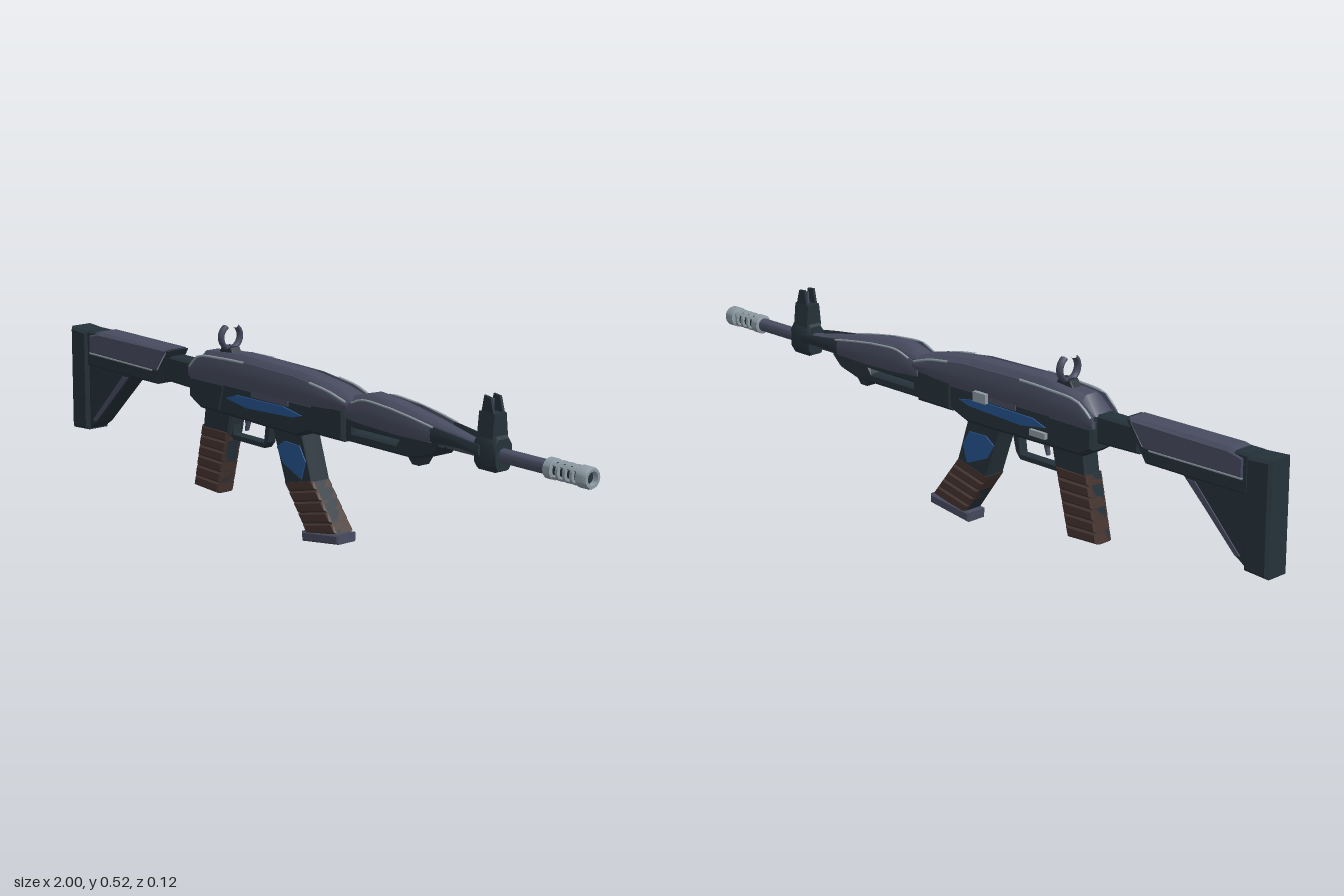
import * as THREE from 'three';
import { toCreasedNormals } from 'three/addons/utils/BufferGeometryUtils.js';

const mat = (name, color) => Object.assign(new THREE.MeshStandardMaterial({ color }), { name });

export function createModel() {
  const dark = mat('dark frame', 0x25323a);
  const steel = mat('grey steel', 0x484c60);
  const light = mat('worn metal', 0x8d9ba4);
  const brown = mat('brown grip', 0x46342f);
  const blue = mat('blue inlay', 0x26558f);

  const root = new THREE.Group();
  root.name = 'rifle';
  root.position.z = 0.005;

  const add = (name, geo, material, x = 0, y = 0, z = 0) => {
    const m = new THREE.Mesh(geo, material);
    m.name = name;
    m.position.set(x, y, z);
    root.add(m);
    return m;
  };
  const box = (name, material, x0, x1, y0, y1, z0, z1) =>
    add(name, new THREE.BoxGeometry(x1 - x0, y1 - y0, z1 - z0), material, (x0 + x1) / 2, (y0 + y1) / 2, (z0 + z1) / 2);

  // Side outline extruded to +-half in z, with a chamfer
  const plate = (name, material, pts, half, bevel = 0.006, z = 0, holes = []) => {
    const shape = new THREE.Shape(pts.map(p => new THREE.Vector2(...p)));
    holes.forEach(h => shape.holes.push(new THREE.Path(h.map(p => new THREE.Vector2(...p)))));
    const geo = new THREE.ExtrudeGeometry(shape, {
      depth: 2 * (half - bevel), bevelEnabled: bevel > 0, bevelSegments: 1,
      bevelSize: bevel, bevelThickness: bevel, bevelOffset: -bevel,
    });
    geo.translate(0, 0, bevel - half);
    return add(name, geo, material, 0, 0, z);
  };

  // Skin over stations [x, bottom, top, halfWidth]; profile is [z, y] in unit coordinates
  const loft = (name, material, stations, profile) => {
    const n = profile.length;
    let area = 0;
    profile.forEach(([z, y], i) => {
      const [z2, y2] = profile[(i + 1) % n];
      area += z * y2 - z2 * y;
    });
    const ring = area > 0 ? [...profile].reverse() : profile;
    const pos = [], idx = [];
    for (const [x, b, t, w] of stations) for (const [z, y] of ring) pos.push(x, b + (t - b) * y, z * w);
    const last = (stations.length - 1) * n;
    for (let i = 0; i < last; i += n) for (let j = 0; j < n; j++) {
      const k = (j + 1) % n;
      idx.push(i + j, i + k, i + n + k, i + j, i + n + k, i + n + j);
    }
    const cz = ring.reduce((s, p) => s + p[0], 0) / n, cy = ring.reduce((s, p) => s + p[1], 0) / n;
    [stations[0], stations[stations.length - 1]].forEach(([x, b, t, w], e) => {
      const c = pos.length / 3;
      pos.push(x, b + (t - b) * cy, cz * w);
      for (let j = 0; j < n; j++) {
        const k = (j + 1) % n;
        if (e) idx.push(c, last + j, last + k); else idx.push(c, k, j);
      }
    });
    const geo = new THREE.BufferGeometry();
    geo.setAttribute('position', new THREE.Float32BufferAttribute(pos, 3));
    geo.setIndex(idx);
    return add(name, toCreasedNormals(geo, 0.6), material);
  };
  const dome = [[-1, 0], [-1, 0.45], [-0.85, 0.8], [-0.45, 1], [0.45, 1], [0.85, 0.8], [1, 0.45], [1, 0]];
  const octagon = [[-1, 0.2], [-1, 0.8], [-0.65, 1], [0.65, 1], [1, 0.8], [1, 0.2], [0.65, 0], [-0.65, 0]];
  const shellSide = s => [[0.7, 0], [0.94, 0.05], [1, 0.4], [0.98, 0.75], [0.92, 1], [0.85, 1], [0.8, 0.6]].map(([z, y]) => [z * s, y]);

  // Turned part along x from [x, radius] points
  const turned = (name, material, pts, y = 0.355) => {
    const geo = new THREE.LatheGeometry(pts.map(([x, r]) => new THREE.Vector2(r, x)), 24);
    geo.rotateZ(-Math.PI / 2);
    return add(name, toCreasedNormals(geo, 0.6), material, 0, y, 0);
  };
  // Thin worn edge following points
  const trim = (name, pts, r = 0.0035) =>
    add(name, new THREE.TubeGeometry(new THREE.CatmullRomCurve3(pts.map(p => new THREE.Vector3(...p))), 10, r, 6), light);
  // Ribbed block between a top edge and a bottom edge
  const ribbed = (name, tl, tr, bl, br, n, half) => {
    const mix = (a, b, t) => [a[0] + (b[0] - a[0]) * t, a[1] + (b[1] - a[1]) * t];
    plate(name + 'Core', dark, [tl, tr, br, bl], half - 0.005, 0.004);
    for (let i = 0; i < n; i++) {
      const a = i / n, b = (i + 0.96) / n;
      plate(name + 'Rib', brown, [mix(tl, bl, a), mix(tr, br, a), mix(tr, br, b), mix(tl, bl, b)], half, 0.005);
    }
  };

  // Stock
  plate('buttPlate', dark, [[-1, 0.125], [-0.925, 0.13], [-0.925, 0.415], [-1, 0.42]], 0.039, 0.008);
  plate('stockBody', dark, [[-0.93, 0.315], [-0.605, 0.315], [-0.54, 0.418], [-0.93, 0.418]], 0.033);
  plate('stockPanel', steel, [[-0.92, 0.35], [-0.6, 0.347], [-0.55, 0.42], [-0.87, 0.422], [-0.92, 0.41]], 0.037, 0.01);
  plate('stockBrace', dark, [[-0.93, 0.13], [-0.89, 0.155], [-0.72, 0.32], [-0.93, 0.32]], 0.028, 0.005, 0,
    [[[-0.89, 0.312], [-0.785, 0.312], [-0.89, 0.2]]]);
  plate('bufferTube', dark, [[-0.58, 0.33], [-0.43, 0.325], [-0.43, 0.4], [-0.58, 0.4]], 0.027);

  // Receiver
  plate('lowerReceiver', dark, [[-0.445, 0.395], [-0.445, 0.31], [-0.405, 0.285], [0, 0.278], [0.06, 0.3],
    [0.185, 0.3], [0.185, 0.39], [-0.05, 0.4]], 0.043, 0.009);
  plate('frontTrunnion', dark, [[0.055, 0.298], [0.185, 0.298], [0.185, 0.385], [0.055, 0.385]], 0.047, 0.008);
  plate('rearTrunnion', dark, [[-0.445, 0.31], [-0.4, 0.287], [-0.31, 0.287], [-0.29, 0.37], [-0.445, 0.37]], 0.047, 0.008);
  loft('receiverCover', steel, [[-0.445, 0.365, 0.4, 0.036], [-0.4, 0.365, 0.44, 0.043], [-0.25, 0.365, 0.453, 0.044],
    [0, 0.365, 0.446, 0.044], [0.13, 0.365, 0.43, 0.043], [0.215, 0.365, 0.41, 0.038]], dome);

  // Handguard
  loft('handguardTop', steel, [[0.19, 0.36, 0.415, 0.034], [0.26, 0.36, 0.433, 0.038], [0.36, 0.36, 0.424, 0.037],
    [0.48, 0.36, 0.405, 0.028], [0.6, 0.36, 0.382, 0.016], [0.65, 0.36, 0.375, 0.014]], dome);
  plate('lowerHandguard', dark, [[0.18, 0.3], [0.43, 0.3], [0.5, 0.318], [0.53, 0.345], [0.53, 0.37], [0.18, 0.38]], 0.036, 0.006, 0,
    [[[0.21, 0.327], [0.37, 0.327], [0.38, 0.338], [0.21, 0.338]]]);
  plate('handguardLug', dark, [[0.39, 0.305], [0.41, 0.28], [0.435, 0.28], [0.455, 0.31]], 0.022, 0.005);

  // Mirrored side shells, arms, inlays and worn edges
  for (const s of [1, -1]) {
    loft('receiverShell', steel, [[-0.445, 0.365, 0.395, 0.048], [-0.4, 0.36, 0.43, 0.053], [-0.25, 0.367, 0.443, 0.055],
      [0, 0.367, 0.438, 0.055], [0.12, 0.372, 0.424, 0.053], [0.2, 0.382, 0.402, 0.048]], shellSide(s));
    loft('handguardShell', steel, [[0.185, 0.36, 0.395, 0.046], [0.26, 0.355, 0.422, 0.052], [0.38, 0.35, 0.415, 0.05],
      [0.5, 0.352, 0.395, 0.046]], shellSide(s));
    loft('handguardArm', dark, [[0.5, 0.354, 0.395, 0.045], [0.6, 0.356, 0.384, 0.04], [0.66, 0.35, 0.376, 0.036]], shellSide(s));
    plate('blueInlay', blue, [[-0.285, 0.333], [-0.24, 0.348], [-0.05, 0.35], [0.025, 0.338], [-0.01, 0.328], [-0.2, 0.32]], 0.003, 0, s * 0.044);
    plate('magazineInlay', blue, [[-0.09, 0.235], [-0.06, 0.255], [0, 0.253], [0.024, 0.215], [0.008, 0.165], [-0.065, 0.195]], 0.003, 0, s * 0.0305);
    plate('boltPlate', steel, [[-0.18, 0.353], [-0.03, 0.353], [-0.03, 0.372], [-0.18, 0.372]], 0.003, 0, s * 0.044);
    trim('receiverRearTrim', [[-0.44, 0.393, s * 0.046], [-0.4, 0.427, s * 0.0495], [-0.3, 0.438, s * 0.051], [-0.2, 0.441, s * 0.051]]);
    trim('receiverFrontTrim', [[0.06, 0.431, s * 0.05], [0.13, 0.421, s * 0.049], [0.195, 0.402, s * 0.045]]);
    trim('handguardTopTrim', [[0.215, 0.405, s * 0.045], [0.26, 0.42, s * 0.0475], [0.36, 0.416, s * 0.0465]], 0.003);
    trim('handguardFrontTrim', [[0.36, 0.416, s * 0.0465], [0.44, 0.405, s * 0.0445], [0.51, 0.393, s * 0.041]], 0.003);
    trim('stockLowerTrim', [[-0.915, 0.354, s * 0.032], [-0.75, 0.353, s * 0.032], [-0.62, 0.352, s * 0.032]], 0.0035);
    trim('stockFrontTrim', [[-0.6, 0.357, s * 0.032], [-0.58, 0.385, s * 0.032], [-0.56, 0.411, s * 0.031]], 0.003);
    plate('braceFace', steel, [[-0.91, 0.16], [-0.895, 0.158], [-0.74, 0.31], [-0.765, 0.31]], 0.003, 0, s * 0.028);
  }

  // Charging handle and selector on the far side
  box('chargingHandle', light, -0.09, -0.045, 0.353, 0.379, -0.065, -0.053);
  box('handleStem', dark, -0.08, -0.055, 0.36, 0.372, -0.055, -0.04);
  box('selectorLever', light, -0.29, -0.235, 0.304, 0.32, -0.053, -0.042);

  // Grip, trigger and guard
  plate('gripNeck', dark, [[-0.41, 0.225], [-0.3, 0.225], [-0.285, 0.295], [-0.4, 0.295]], 0.027);
  ribbed('grip', [-0.413, 0.235], [-0.302, 0.235], [-0.45, 0.06], [-0.347, 0.055], 6, 0.029);
  plate('triggerGuard', dark, [[-0.31, 0.29], [-0.31, 0.222], [-0.295, 0.213], [-0.165, 0.213], [-0.15, 0.23], [-0.135, 0.29]], 0.014, 0.002, 0,
    [[[-0.294, 0.278], [-0.16, 0.278], [-0.167, 0.228], [-0.294, 0.228]]]);
  plate('trigger', steel, [[-0.26, 0.285], [-0.235, 0.285], [-0.243, 0.262], [-0.25, 0.243], [-0.256, 0.243], [-0.253, 0.262]], 0.006, 0.001);

  // Magazine
  plate('magazineTop', dark, [[-0.115, 0.29], [0.008, 0.29], [0.05, 0.16], [-0.06, 0.135]], 0.0305, 0.005);
  ribbed('magazine', [-0.066, 0.145], [0.043, 0.172], [0.025, 0.02], [0.142, 0.045], 5, 0.031);
  plate('magazineBase', steel, [[0.005, 0.026], [0.15, 0.044], [0.15, 0.019], [0.008, 0]], 0.032, 0.004);

  // Barrel and slotted muzzle
  turned('barrel', steel, [[0.45, 0], [0.45, 0.018], [0.87, 0.018], [0.87, 0]]);
  turned('muzzleCore', dark, [[0.87, 0.018], [0.985, 0.018], [0.985, 0]]);
  turned('muzzleCollar', light, [[0.86, 0.017], [0.863, 0.026], [0.885, 0.026], [0.888, 0.018]]);
  turned('muzzleCap', light, [[0.965, 0.018], [0.968, 0.027], [0.994, 0.027], [1, 0.024], [1, 0.017], [0.98, 0.016]]);
  for (const x of [0.9, 0.923, 0.946])
    turned('muzzleRing', light, [[x, 0.017], [x + 0.002, 0.025], [x + 0.01, 0.025], [x + 0.012, 0.017]]);
  for (let i = 0; i < 4; i++) {
    const a = Math.PI / 4 + i * Math.PI / 2;
    const bar = add('muzzleBar', new THREE.BoxGeometry(0.09, 0.008, 0.008), light, 0.925, 0.355 + 0.02 * Math.sin(a), 0.02 * Math.cos(a));
    bar.rotation.x = -a;
  }

  // Front sight
  loft('frontSightBlock', dark, [[0.637, 0.318, 0.395, 0.027], [0.645, 0.314, 0.402, 0.029], [0.702, 0.314, 0.402, 0.029], [0.71, 0.318, 0.395, 0.027]], octagon);
  const tower = [[-1, 0], [-0.76, 1], [0.76, 1], [1, 0]];
  loft('frontSightTower', dark, [[0.645, 0.395, 0.456, 0.026], [0.698, 0.395, 0.456, 0.026]], tower);
  for (const s of [1, -1])
    plate('frontSightEar', dark, [[0.648, 0.44], [0.698, 0.44], [0.683, 0.494], [0.66, 0.497]], 0.0035, 0.001, s * 0.0155);
  box('frontSightPost', steel, 0.666, 0.674, 0.45, 0.488, -0.003, 0.003);

  // Rear sight: open ring of two curved horns
  const horns = new THREE.TorusGeometry(0.032, 0.0065, 8, 28, Math.PI * 5 / 3);
  horns.rotateZ(Math.PI * 2 / 3);
  horns.scale(1, 1, 1.8);
  horns.rotateY(Math.PI / 2);
  add('rearSightHorns', horns, steel, -0.32, 0.488, 0);
  plate('rearSightBase', dark, [[-0.355, 0.435], [-0.285, 0.435], [-0.3, 0.462], [-0.34, 0.462]], 0.016, 0.003);

  const group = new THREE.Group();
  group.add(root);
  return group;
}
